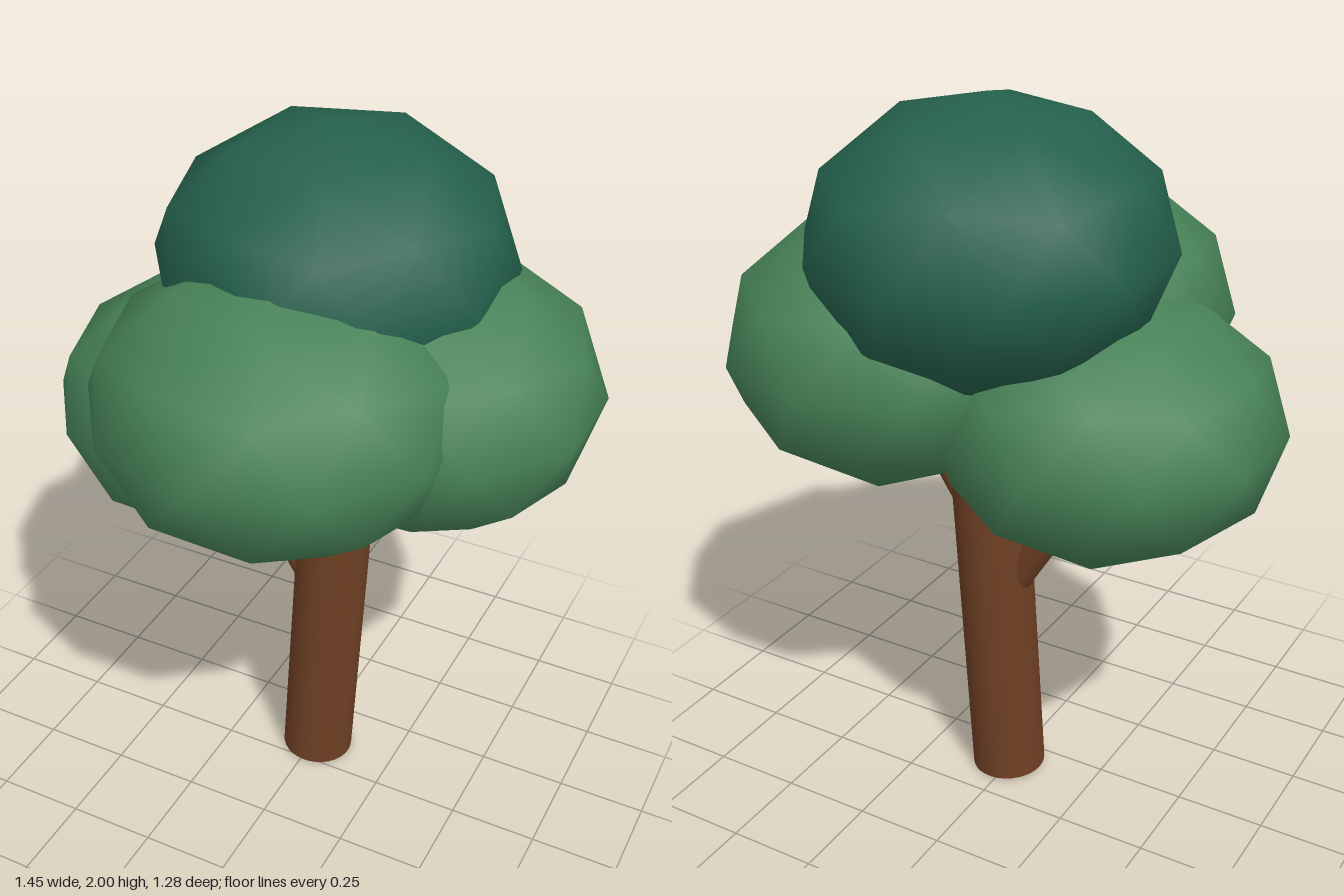
import * as THREE from 'three';

const material = (name, color) => {
  const m = new THREE.MeshStandardMaterial({ color });
  m.name = name;
  return m;
};

export function createModel() {
  const tree = new THREE.Group();
  tree.name = 'tree';
  const bark = material('bark brown', 0x6f4024);
  const leaf = material('leaf green', 0x478257);
  const darkLeaf = material('dark leaf green', 0x25614d);

  // Round limb running between two points
  function limb(name, radius, from, to) {
    const a = new THREE.Vector3(...from);
    const b = new THREE.Vector3(...to);
    const dir = b.clone().sub(a);
    const mesh = new THREE.Mesh(new THREE.CylinderGeometry(radius, radius, dir.length(), 32), bark);
    mesh.name = name;
    mesh.position.copy(a).add(b).multiplyScalar(0.5);
    mesh.quaternion.setFromUnitVectors(new THREE.Vector3(0, 1, 0), dir.normalize());
    tree.add(mesh);
  }
  limb('trunk', 0.104, [0.011, 0.008, -0.086], [0.057, 0.98, -0.107]);
  limb('rightBranch', 0.042, [-0.01, 0.62, -0.1], [-0.225, 0.967, -0.11]);
  limb('leftBranch', 0.042, [0.07, 0.782, -0.105], [0.235, 1.05, -0.113]);

  // Smooth-shaded icosphere with a corner pointing straight up
  const sphere = new THREE.IcosahedronGeometry(1, 1);
  sphere.rotateZ(-Math.atan(2 / (1 + Math.sqrt(5))));

  // Flattened leaf clumps: centre, horizontal radius, vertical radius
  const clumps = [
    ['topFoliage', darkLeaf, [0.01, 1.63, -0.17], 0.475, 0.37],
    ['frontFoliage', leaf, [0.01, 1.372, 0.145], 0.495, 0.373],
    ['leftFoliage', leaf, [0.28, 1.32, -0.177], 0.465, 0.366],
    ['rightFoliage', leaf, [-0.29, 1.18, -0.09], 0.456, 0.35],
  ];
  for (const [name, mat, centre, r, h] of clumps) {
    const mesh = new THREE.Mesh(sphere, mat);
    mesh.name = name;
    mesh.position.set(...centre);
    mesh.scale.set(r, h, r);
    tree.add(mesh);
  }
  return tree;
}
